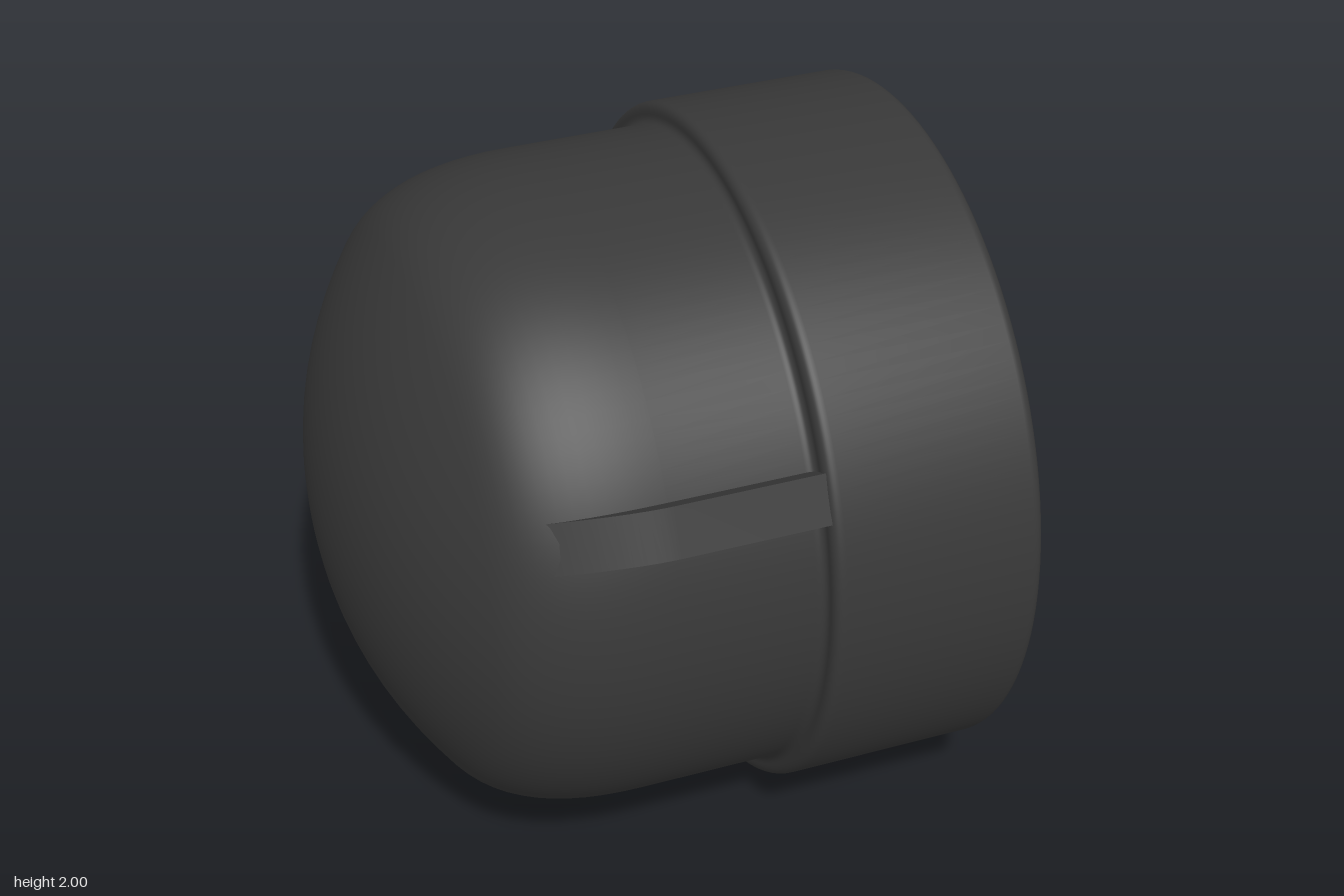
import * as THREE from 'three';
import { toCreasedNormals } from 'three/addons/utils/BufferGeometryUtils.js';

const SEGMENTS = 128;
const RIB_ANGLE = THREE.MathUtils.degToRad(65.7);

// Smooth curved areas, keep edges sharp (scaled up so small fillets stay distinct)
function crease(geometry, angle = 0.6) {
  geometry.scale(100, 100, 100);
  const g = toCreasedNormals(geometry, angle);
  return g.scale(0.01, 0.01, 0.01);
}

// Revolve a (radius, x) profile around the x axis
function revolve(points) {
  return new THREE.LatheGeometry(points, SEGMENTS).rotateZ(-Math.PI / 2);
}

// Domed outside, stepped collar, rim and chamfered mouth
function outerProfile() {
  const p = new THREE.Path();
  p.moveTo(0, -0.875);
  p.quadraticCurveTo(0.435, -0.875, 0.78, -0.61);
  p.quadraticCurveTo(0.938, -0.49, 0.938, -0.15);
  p.lineTo(0.938, 0.235);
  p.quadraticCurveTo(0.938, 0.265, 0.965, 0.265);
  p.quadraticCurveTo(1, 0.265, 1, 0.3);
  p.lineTo(1, 0.845);
  p.quadraticCurveTo(1, 0.875, 0.97, 0.875);
  p.lineTo(0.835, 0.875);
  p.lineTo(0.775, 0.73);
  return p.getPoints(12);
}

// Closed end of the bore
function innerProfile() {
  const p = new THREE.Path();
  p.moveTo(0.745, -0.15);
  p.lineTo(0.745, -0.3);
  p.quadraticCurveTo(0.745, -0.42, 0.65, -0.48);
  p.quadraticCurveTo(0.36, -0.69, 0, -0.69);
  return p.getPoints(12);
}

// Helical thread: a ridged tube whose rings climb one pitch per turn
function threadGeometry() {
  const top = 0.73, bottom = -0.15, turns = 9;
  const pitch = (top - bottom) / turns;
  const points = [new THREE.Vector2(0.775, top + pitch)];
  for (let i = 0; i <= turns + 1; i++) {
    const x = top - i * pitch;
    for (const [radius, step] of [[0.757, 0], [0.757, 0.3], [0.8, 0.55], [0.8, 0.75]]) {
      points.push(new THREE.Vector2(radius, x - step * pitch));
    }
  }
  const g = new THREE.LatheGeometry(points, SEGMENTS);
  const pos = g.attributes.position;
  for (let s = 0; s <= SEGMENTS; s++) {
    const angle = (s / SEGMENTS) * Math.PI * 2;
    for (let j = 0; j < points.length; j++) {
      let radius = points[j].x;
      let x = points[j].y + (s / SEGMENTS) * pitch;
      if (x >= top) { x = top; radius = 0.775; }
      if (x <= bottom) { x = bottom; radius = 0.745; }
      pos.setXYZ(s * points.length + j, radius * Math.sin(angle), x, radius * Math.cos(angle));
    }
  }
  return g.rotateZ(-Math.PI / 2);
}

// Straight rib that curves down into the dome
function ribGeometry() {
  const s = new THREE.Shape();
  s.moveTo(-0.5, 0.8);
  s.lineTo(0.28, 0.8);
  s.lineTo(0.28, 0.987);
  s.lineTo(-0.15, 0.987);
  s.quadraticCurveTo(-0.28, 0.985, -0.5, 0.865);
  s.closePath();
  return new THREE.ExtrudeGeometry(s, { depth: 0.14, bevelEnabled: false, curveSegments: 12 })
    .translate(0, 0, -0.07);
}

export function createModel() {
  const group = new THREE.Group();
  group.name = 'threadedPipeCap';
  const material = new THREE.MeshStandardMaterial({ color: 0x383838 });

  const add = (name, geometry) => {
    const mesh = new THREE.Mesh(crease(geometry), material);
    mesh.name = name;
    mesh.position.y = 1;
    group.add(mesh);
    return mesh;
  };

  add('capShell', revolve(outerProfile()));
  add('boreEnd', revolve(innerProfile()));
  add('innerThread', threadGeometry());

  // Two ribs on opposite sides
  for (let i = 0; i < 2; i++) {
    add(i ? 'backRib' : 'frontRib', ribGeometry()).rotation.x = RIB_ANGLE + i * Math.PI;
  }
  return group;
}
